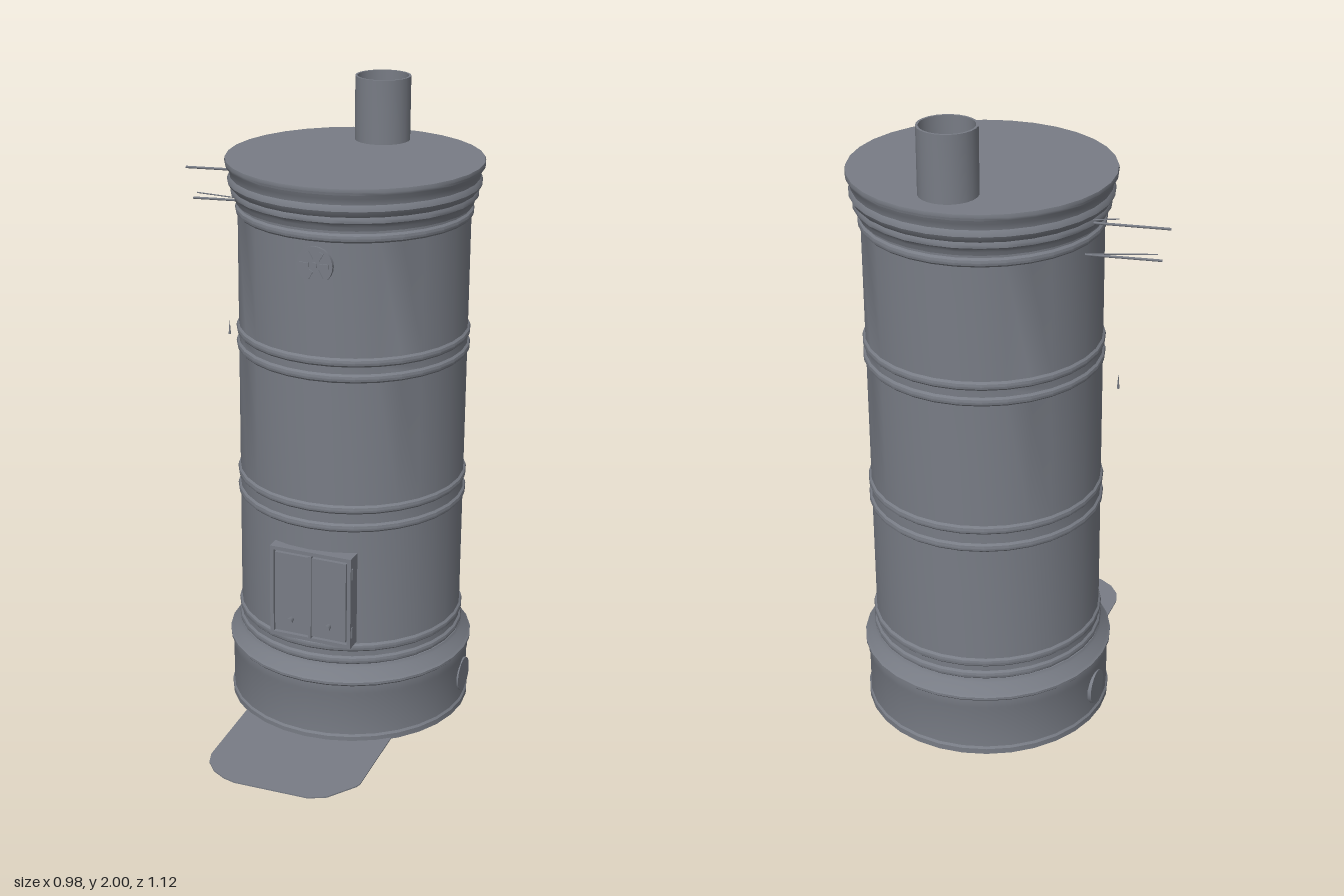
import * as THREE from 'three';
import { toCreasedNormals } from 'three/addons/utils/BufferGeometryUtils.js';

const CX = 0.092, CZ = -0.163; // stove axis

export function createModel() {
  const group = new THREE.Group();
  const iron = new THREE.MeshStandardMaterial({ color: 0x787c85 });
  iron.name = 'grey iron';
  iron.side = THREE.DoubleSide;

  const add = (name, geometry, x = 0, y = 0, z = 0, parent = group) => {
    const mesh = new THREE.Mesh(geometry, iron);
    mesh.name = name;
    mesh.position.set(x, y, z);
    parent.add(mesh);
    return mesh;
  };
  const lathe = (points, sides = 32) => toCreasedNormals(
    new THREE.LatheGeometry(points.map(([r, y]) => new THREE.Vector2(r, y)), sides), 0.5);
  const box = (w, h, d) => new THREE.BoxGeometry(w, h, d);

  // Plinth with a moulded shoulder
  add('base', lathe([
    [0, 0], [0.391, 0], [0.391, 0.018], [0.386, 0.025], [0.386, 0.165], [0.389, 0.175],
    [0.389, 0.2], [0.396, 0.207], [0.396, 0.215], [0.388, 0.222], [0.378, 0.24],
    [0.366, 0.252], [0.362, 0.262], [0.35, 0.262],
  ]), CX, 0, CZ);

  // Drum with pairs of rounded beads
  const body = [[0.358, 0.25]];
  for (const y of [0.275, 0.32, 0.73, 0.79, 1.215, 1.265, 1.645]) {
    body.push([0.357, y - 0.014], [0.363, y - 0.008], [0.365, y], [0.363, y + 0.008], [0.357, y + 0.014]);
  }
  body.push([0.357, 1.7]);
  add('body', lathe(body), CX, 0, CZ);

  // Cornice and flat lid
  add('cornice', lathe([
    [0.355, 1.668], [0.363, 1.668], [0.367, 1.68], [0.372, 1.69], [0.378, 1.695], [0.378, 1.705],
    [0.375, 1.712], [0.383, 1.722], [0.388, 1.732], [0.386, 1.742], [0.381, 1.75], [0.384, 1.768],
    [0.394, 1.782], [0.396, 1.79], [0.394, 1.8], [0, 1.8],
  ]), CX, 0, CZ);

  // Open flue pipe
  add('fluePipe', lathe([[0.087, 1.795], [0.087, 2], [0.08, 2], [0.08, 1.795]], 24), 0.086, 0, -0.41);

  // Double fire door
  const door = new THREE.Group();
  door.name = 'fireDoor';
  door.position.set(0.105, 0.493, 0);
  group.add(door);
  add('doorBacking', box(0.262, 0.296, 0.04), 0, 0, 0.18, door);
  for (const s of [-1, 1]) {
    add('frameSide', box(0.012, 0.305, 0.058), s * 0.129, 0, 0.186, door);
    add('frameRail', box(0.27, 0.012, 0.058), 0, s * 0.147, 0.186, door);
    add('doorLeaf', box(0.113, 0.268, 0.02), s * 0.062, 0, 0.204, door);
    const knob = add('doorKnob', new THREE.CylinderGeometry(0.012, 0.008, 0.026, 10), s * 0.063, -0.088, 0.225, door);
    knob.rotation.x = Math.PI / 2;
    for (const t of [-1, 1]) {
      add('hinge', new THREE.CylinderGeometry(0.006, 0.006, 0.035, 8), s * 0.133, t * 0.1, 0.205, door);
    }
  }
  add('doorSeam', box(0.01, 0.28, 0.026), 0, 0, 0.207, door);

  // Round draught vent with raised petals
  const vent = new THREE.Group();
  vent.name = 'vent';
  vent.position.set(0.11, 1.56, 0.192);
  group.add(vent);
  add('ventDisc', new THREE.CylinderGeometry(0.057, 0.057, 0.012, 24), 0, 0, 0, vent).rotation.x = Math.PI / 2;
  add('ventHub', new THREE.CylinderGeometry(0.01, 0.01, 0.024, 10), 0, 0, 0, vent).rotation.x = Math.PI / 2;
  for (let i = 0; i < 6; i++) {
    const a = i * Math.PI / 3;
    const petal = add('ventPetal', box(0.028, 0.014, 0.006), 0.032 * Math.cos(a), 0.032 * Math.sin(a), 0.007, vent);
    petal.rotation.z = a;
  }

  // Round cleaning covers on both sides of the plinth
  for (const s of [-1, 1]) {
    const cover = add('cleaningCover', new THREE.CylinderGeometry(0.055, 0.055, 0.012, 24), CX + s * 0.383, 0.1, -0.19);
    cover.rotation.z = Math.PI / 2;
  }

  // Thin damper rods on the right side
  const rod = (name, from, to, radius) => {
    const curve = new THREE.LineCurve3(new THREE.Vector3(...from), new THREE.Vector3(...to));
    add(name, new THREE.TubeGeometry(curve, 1, radius, 6, false));
  };
  rod('upperRod', [-0.24, 1.702, -0.24], [-0.495, 1.702, -0.196], 0.004);
  rod('upperRodBrace', [-0.26, 1.708, -0.236], [-0.35, 1.72, -0.221], 0.002);
  rod('lowerRod', [-0.24, 1.604, -0.24], [-0.472, 1.604, -0.198], 0.004);
  rod('lowerRodBrace', [-0.25, 1.605, -0.238], [-0.46, 1.622, -0.2], 0.002);
  add('pullTip', new THREE.ConeGeometry(0.004, 0.05, 6), -0.343, 1.195, -0.18);

  // Floor plate in front of the stove
  const outline = [
    [-0.145, 0.1], [-0.145, 0.165], [-0.135, 0.44], [-0.12, 0.485], [-0.085, 0.525], [-0.04, 0.55], [0, 0.56],
    [0.24, 0.552], [0.292, 0.525], [0.352, 0.437], [0.358, 0.42], [0.35, 0.145], [0.35, 0.1],
  ];
  const shape = new THREE.Shape(outline.map(([x, z]) => new THREE.Vector2(x, -z)));
  const plate = new THREE.ExtrudeGeometry(shape, { depth: 0.004, bevelEnabled: false });
  add('floorPlate', plate).rotation.x = -Math.PI / 2;

  return group;
}
